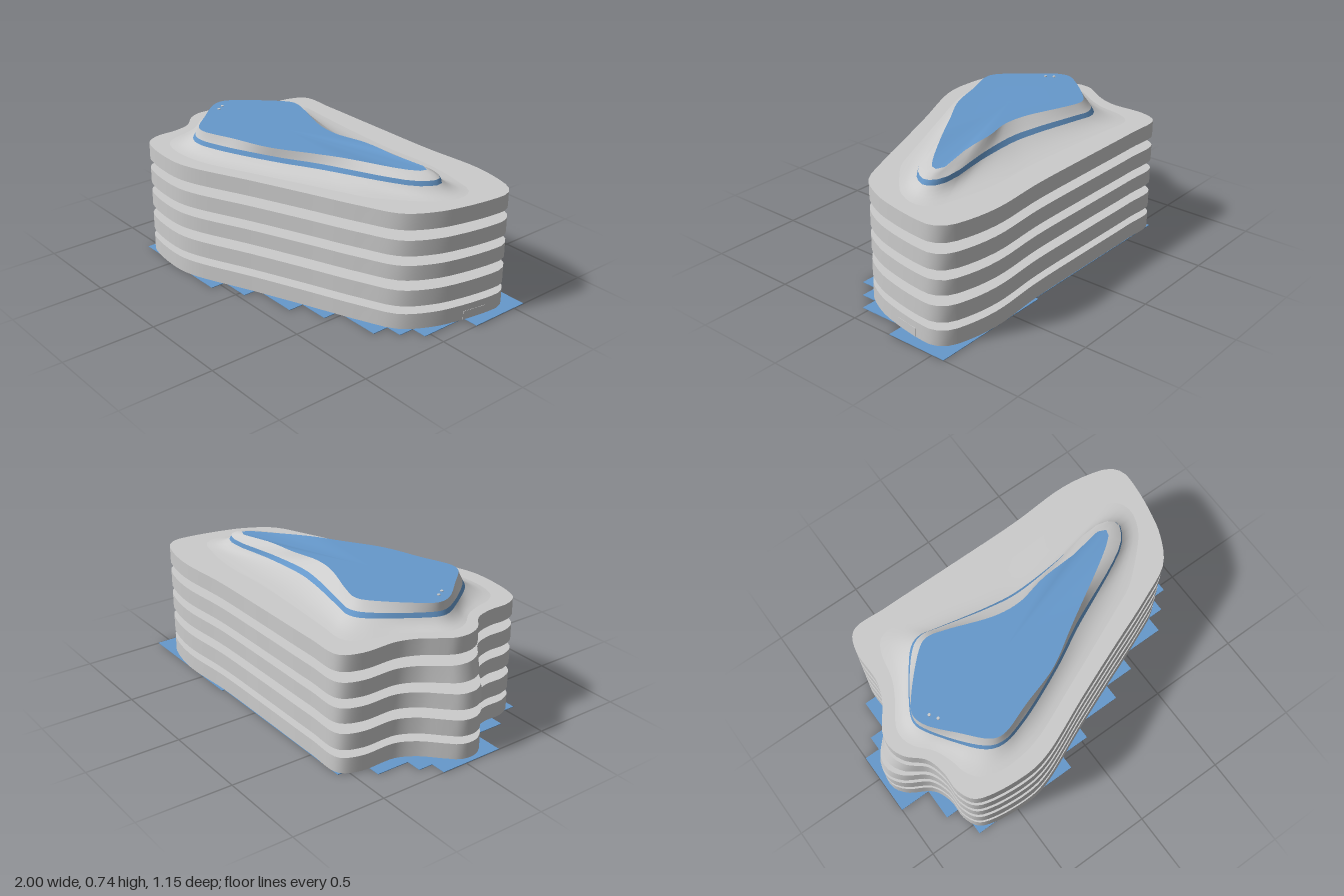
import * as THREE from 'three';

const N = 180;              // points round every outline
const CX = -0.2, CZ = 0.03; // centre the outlines are measured from

// Floor slab outline (x, z); the nose at the left end is stretched per floor
const SLAB = [[-0.71, -0.545], [-0.5, -0.553], [-0.1, -0.553], [0.3, -0.555], [0.62, -0.573], [0.8, -0.548],
  [0.9, -0.51], [0.94, -0.45], [0.94, -0.36], [0.91, -0.18], [0.87, -0.05], [0.78, 0.09], [0.6, 0.18],
  [0.3, 0.3], [0.03, 0.41], [-0.3, 0.55], [-0.42, 0.572], [-0.64, 0.553], [-0.72, 0.52], [-0.76, 0.44],
  [-0.762, 0.33], [-0.79, 0.23], [-0.87, 0.15], [-0.9, 0.08], [-0.895, 0], [-0.86, -0.06], [-0.8, -0.15],
  [-0.765, -0.25], [-0.76, -0.45]];
// Outline of the glazed wall
const WALL = [[-0.735, 0.05], [-0.7, -0.04], [-0.52, -0.275], [-0.45, -0.3], [-0.38, -0.285], [-0.1, -0.22],
  [0.05, -0.2], [0.3, -0.22], [0.58, -0.268], [0.67, -0.255], [0.71, -0.21], [0.66, -0.12], [0.55, -0.05],
  [0.2, 0.11], [0, 0.22], [-0.3, 0.35], [-0.44, 0.385], [-0.52, 0.36], [-0.7, 0.14]];
// Outline of the roof
const ROOF = [[-0.73, 0.03], [-0.69, -0.04], [-0.49, -0.245], [-0.44, -0.258], [-0.35, -0.235], [-0.1, -0.15],
  [0.04, -0.14], [0.2, -0.175], [0.42, -0.192], [0.6, -0.225], [0.635, -0.2], [0.6, -0.155], [0.16, 0.12],
  [-0.04, 0.24], [-0.25, 0.31], [-0.43, 0.37], [-0.49, 0.355], [-0.6, 0.24], [-0.715, 0.1]];
// Stepped ground plate
const PLATE = [[-0.72, -0.555], [0.3, -0.555], [0.3, -0.57], [1, -0.57], [1, -0.23], [0.91, -0.23], [0.91, 0.035],
  [0.825, 0.035], [0.825, 0.12], [0.735, 0.12], [0.735, 0.21], [0.47, 0.21], [0.47, 0.3], [0.3, 0.3],
  [0.3, 0.385], [0.035, 0.385], [0.035, 0.47], [-0.135, 0.47], [-0.135, 0.555], [-0.74, 0.555],
  [-0.74, 0.385], [-0.83, 0.385], [-0.83, 0.21], [-1, 0.21], [-1, -0.14], [-0.915, -0.14],
  [-0.915, -0.22], [-0.83, -0.22], [-0.83, -0.4], [-0.72, -0.4]];

const grey = new THREE.MeshStandardMaterial({ color: 0xcccccc, side: THREE.DoubleSide });
const blue = new THREE.MeshStandardMaterial({ color: 0x6699cc, side: THREE.DoubleSide });

// Smooth a closed outline and measure its radius at N even angles
function radii(points) {
  const curve = new THREE.CatmullRomCurve3(points.map(([x, z]) => new THREE.Vector3(x - CX, 0, z - CZ)), true);
  const p = curve.getPoints(points.length * 10);
  return Array.from({ length: N }, (_, i) => {
    const a = (i / N) * Math.PI * 2, c = Math.cos(a), s = Math.sin(a);
    let best = 0;
    for (let k = 0; k + 1 < p.length; k++) {
      const d0 = p[k].z * c - p[k].x * s, d1 = p[k + 1].z * c - p[k + 1].x * s;
      if (d0 * d1 > 0 || d0 === d1) continue;
      const f = d0 / (d0 - d1);
      const r = THREE.MathUtils.lerp(p[k].x * c + p[k].z * s, p[k + 1].x * c + p[k + 1].z * s, f);
      best = Math.max(best, r);
    }
    return best;
  });
}

const slabRadii = (left) => radii(SLAB.map(([x, z]) => [x < -0.762 ? -0.762 + (x + 0.762) * (-0.762 - left) / 0.138 : x, z]));

// Ring of points at height y (a number or a rule of x)
function ring(r, y) {
  return r.map((radius, i) => {
    const a = (i / N) * Math.PI * 2, x = CX + radius * Math.cos(a);
    return [x, typeof y === 'function' ? y(x) : y, CZ + radius * Math.sin(a)];
  });
}

function mesh(name, positions, index, material) {
  const g = new THREE.BufferGeometry();
  g.setAttribute('position', new THREE.Float32BufferAttribute(positions.flat(), 3));
  g.setIndex(index);
  g.computeVertexNormals();
  const m = new THREE.Mesh(g, material);
  m.name = name;
  return m;
}

// Skin through rings, from bottom to top
function loft(name, rings, material) {
  const index = [];
  for (let j = 0; j + 1 < rings.length; j++) {
    for (let i = 0; i < N; i++) {
      const a = j * N + i, b = j * N + (i + 1) % N;
      index.push(a, a + N, b, b, a + N, b + N);
    }
  }
  return mesh(name, rings.flat(), index, material);
}

// Flat face filling a ring
function cap(name, points, y, up, material) {
  const index = [];
  for (let i = 0; i < N; i++) {
    const n = (i + 1) % N;
    index.push(N, ...(up ? [n, i] : [i, n]));
  }
  return mesh(name, [...points, [CX, y, CZ]], index, material);
}

export function createModel() {
  const model = new THREE.Group();
  const wall = radii(WALL), roof = radii(ROOF), plain = slabRadii(-0.9);
  const blend = (t) => wall.map((r, i) => THREE.MathUtils.lerp(r, plain[i], t));

  // Ground plate
  const shape = new THREE.Shape(PLATE.map(([x, z]) => new THREE.Vector2(x, -z)));
  const plate = new THREE.Mesh(new THREE.ExtrudeGeometry(shape, { depth: 0.003, bevelEnabled: false }), blue);
  plate.rotation.x = -Math.PI / 2;
  plate.name = 'groundPlate';
  model.add(plate);

  // Floor slabs: bottom, top, left end at bottom and at top
  const floors = [[0.003, 0.087, -0.97, -0.97], [0.13, 0.217, -0.97, -0.97], [0.272, 0.352, -0.967, -0.955],
    [0.403, 0.486, -0.935, -0.91], [0.541, 0.627, -0.902, -0.9]];
  floors.forEach(([y0, y1, l0, l1]) => {
    const low = ring(slabRadii(l0), y0), high = ring(slabRadii(l1), y1);
    const slab = new THREE.Group();
    slab.name = 'floorSlab';
    slab.add(loft('slabEdge', [low, high], grey), cap('slabTop', high, y1, true, grey), cap('soffit', low, y0, false, blue));
    model.add(slab);
  });

  // Recessed storeys between slabs: flared foot, window strip, wall
  const flare = [[0.52, 0.27], [0.4, 0.2], [0.32, 0.13], [0.22, 0.07]];
  flare.forEach(([t0, t1], k) => {
    const y0 = floors[k][1], y1 = floors[k + 1][0];
    const at = (f) => ring(blend(t1 + (t0 - t1) * (1 - f) ** 2.2), y0 + (y1 - y0) * f);
    const storey = new THREE.Group();
    storey.name = 'storey';
    const [w0, w1] = k === 0 ? [0.5, 0.5] : [0.17, 0.32];
    storey.add(loft('flaredFoot', [at(0), at(w0 / 2), at(w0)], grey));
    if (w1 > w0) storey.add(loft('windowStrip', [at(w0), at(w1)], blue));
    storey.add(loft('storeyWall', [at(w1), at(0.5 + w1 / 2), at(0.85), at(1)], grey));
    model.add(storey);
  });

  // Top storey and roof, which dips towards the right end
  const roofY = (x) => 0.737 - 0.02 * THREE.MathUtils.smoothstep(x, 0.25, 0.63);
  const foot = [[0.56, 0.627], [0.42, 0.631], [0.3, 0.638], [0.2, 0.647], [0.11, 0.658], [0.05, 0.668]];
  const mid = roof.map((r, i) => r * 0.45 + wall[i] * 0.55);
  const rim = ring(roof, roofY);
  model.add(
    loft('topFlare', foot.map(([t, y]) => ring(blend(t), y)), grey),
    loft('topWindowStrip', [ring(blend(0.05), 0.668), ring(blend(0), 0.692)], blue),
    loft('parapet', [ring(blend(0), 0.692), ring(mid, 0.709), rim], grey),
    cap('roof', rim, 0.737, true, blue));

  // Small roof vents and the side door
  for (const [x, z] of [[-0.665, 0.08], [-0.64, 0.12]]) {
    const vent = new THREE.Mesh(new THREE.CylinderGeometry(0.008, 0.008, 0.006, 12), grey);
    vent.position.set(x, 0.738, z);
    vent.name = 'roofVent';
    model.add(vent);
  }
  const door = new THREE.Mesh(new THREE.BoxGeometry(0.01, 0.045, 0.13), grey);
  door.position.set(0.926, 0.028, -0.28);
  door.rotation.y = -0.165;
  door.name = 'sideDoor';
  model.add(door);
  return model;
}
